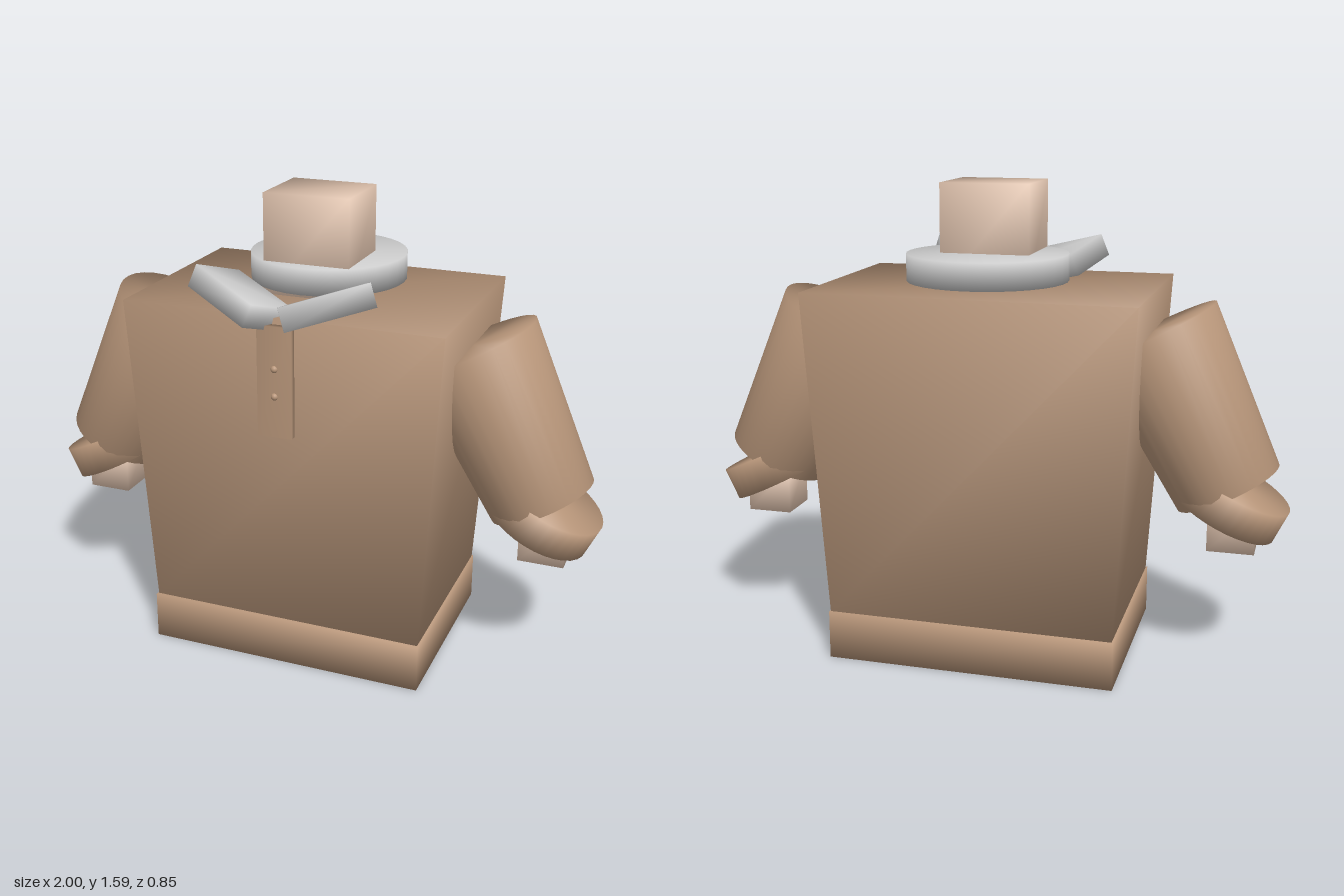
import * as THREE from 'three';
import { mergeVertices } from 'three/addons/utils/BufferGeometryUtils.js';

const CENTER_Z = -0.05;

export function createModel() {
  const model = new THREE.Group();
  const cloth = new THREE.MeshStandardMaterial({ color: 0xb8967a });
  const skin = new THREE.MeshStandardMaterial({ color: 0xe8cab4 });
  const grey = new THREE.MeshStandardMaterial({ color: 0xcccccc });

  // Weld corners so normals blend softly across all edges
  const soften = (geometry) => {
    geometry.deleteAttribute('normal');
    geometry.deleteAttribute('uv');
    const welded = mergeVertices(geometry);
    welded.computeVertexNormals();
    return welded;
  };

  const add = (name, geometry, material, x, y, z, tilt = 0) => {
    const mesh = new THREE.Mesh(soften(geometry), material);
    mesh.name = name;
    mesh.position.set(x, y, z);
    mesh.rotation.z = tilt;
    model.add(mesh);
    return mesh;
  };

  // Torso: a box narrowed towards the waist
  const torso = new THREE.BoxGeometry(1.086, 1.09, 0.74);
  const p = torso.attributes.position;
  for (let i = 0; i < p.count; i++) {
    if (p.getY(i) < 0) p.setXYZ(i, p.getX(i) * 0.884, p.getY(i), p.getZ(i) * 0.925);
  }
  add('torso', torso, cloth, 0, 0.705, CENTER_Z);
  add('hem', new THREE.BoxGeometry(0.97, 0.165, 0.70), cloth, 0, 0.0825, -0.047);

  // Neck and round collar
  add('neck', new THREE.BoxGeometry(0.296, 0.345, 0.26), skin, 0, 1.413, CENTER_Z);
  add('collarBand', new THREE.CylinderGeometry(0.265, 0.265, 0.088, 32), grey, 0, 1.317, -0.134);

  // Buttoned placket
  add('placket', new THREE.BoxGeometry(0.118, 0.37, 0.023), cloth, 0, 1.045, 0.334);
  for (const y of [1.09, 0.998]) {
    add('button', new THREE.SphereGeometry(0.012, 16, 12), cloth, 0, y, 0.343);
  }

  for (const side of [1, -1]) {
    const prefix = side > 0 ? 'left' : 'right';

    // Collar flap, oriented by its length and depth directions
    const flap = add(prefix + 'CollarFlap', new THREE.BoxGeometry(0.292, 0.078, 0.187), grey,
      side * 0.145, 1.287, 0.271);
    const along = new THREE.Vector3(side * 0.25, 0.07, -0.134).normalize();
    const forward = new THREE.Vector3(side * 0.08, 0.055, 0.16);
    const normal = new THREE.Vector3().crossVectors(forward, along).normalize();
    forward.crossVectors(along, normal);
    flap.quaternion.setFromRotationMatrix(new THREE.Matrix4().makeBasis(along, normal, forward));

    // Arm: tapered sleeve, cuff tilted the other way, hand
    add(prefix + 'Sleeve', new THREE.CylinderGeometry(0.224, 0.182, 0.57, 32), cloth,
      side * 0.664, 0.861, CENTER_Z, side * 0.476);
    add(prefix + 'Cuff', new THREE.CylinderGeometry(0.188, 0.188, 0.112, 32), cloth,
      side * 0.805, 0.571, CENTER_Z, side * -0.45);
    add(prefix + 'Hand', new THREE.BoxGeometry(0.155, 0.155, 0.155), skin,
      side * 0.817, 0.483, CENTER_Z);
  }

  return model;
}
